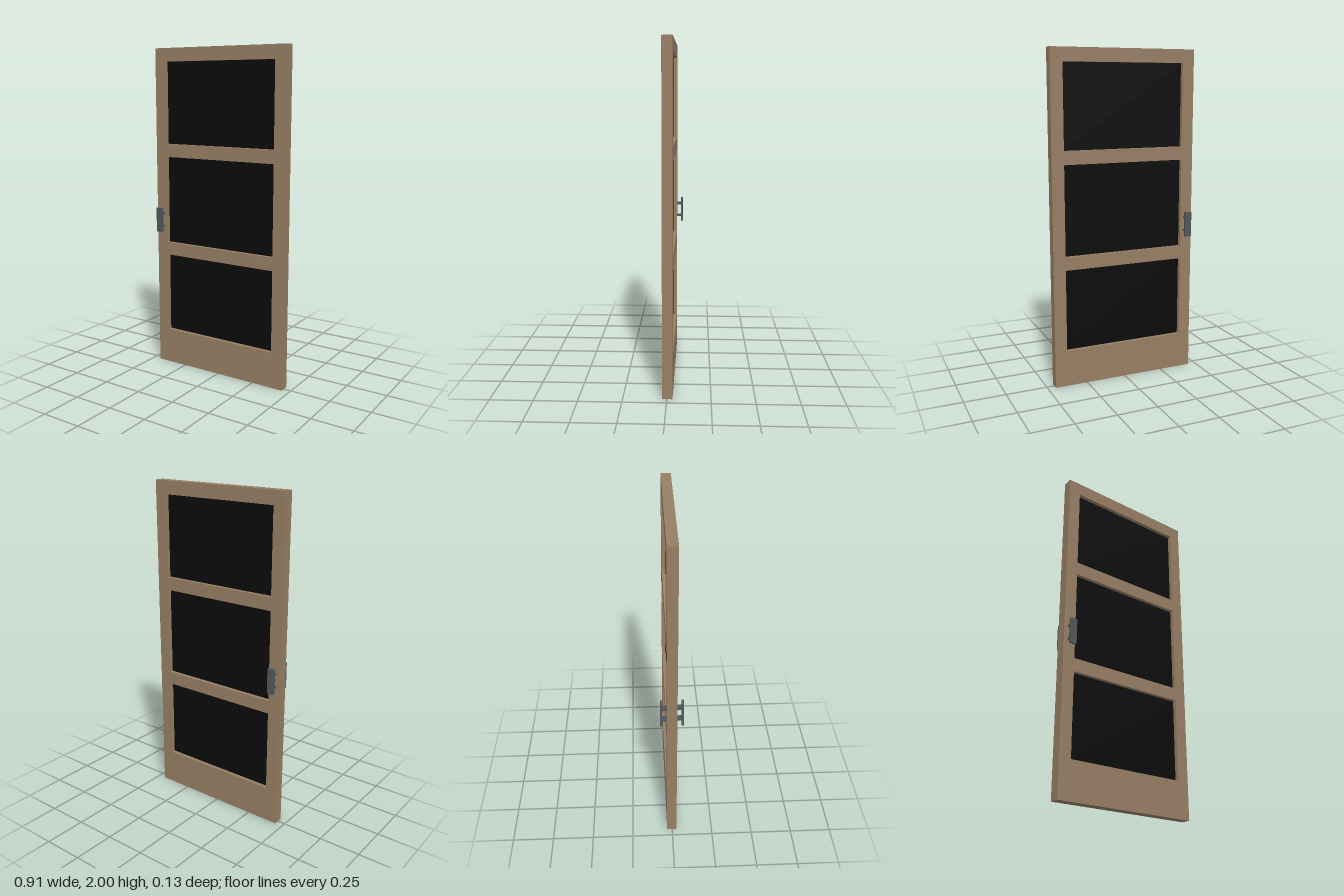
import * as THREE from 'three';

const material = (name, color) => {
  const m = new THREE.MeshStandardMaterial({ color });
  m.name = name;
  return m;
};

export function createModel() {
  const wood = material('wood', 0x967e64);
  const black = material('black panel', 0x0b0b0b);
  const metal = material('grey metal', 0x50565b);

  const door = new THREE.Group();
  door.name = 'door';

  const box = (parent, name, mat, size, pos) => {
    const mesh = new THREE.Mesh(new THREE.BoxGeometry(...size), mat);
    mesh.name = name;
    mesh.position.set(...pos);
    parent.add(mesh);
  };

  const W = 0.453, H = 2, T = 0.059, midZ = -0.0025;
  const holeX = 0.378;
  const openings = [[0.222, 0.72], [0.8, 1.342], [1.422, 1.92]];

  const rectangle = (path, x, y0, y1) =>
    path.moveTo(-x, y0).lineTo(x, y0).lineTo(x, y1).lineTo(-x, y1).closePath();

  // Wooden frame with three openings
  const outline = new THREE.Shape();
  rectangle(outline, W, 0, H);
  for (const [y0, y1] of openings) {
    const hole = new THREE.Path();
    rectangle(hole, holeX, y0, y1);
    outline.holes.push(hole);
  }
  const frame = new THREE.Mesh(
    new THREE.ExtrudeGeometry(outline, { depth: T, bevelEnabled: false }), wood);
  frame.name = 'frame';
  frame.position.z = midZ - T / 2;
  door.add(frame);

  // Thin panels recessed from both faces
  openings.forEach(([y0, y1], i) =>
    box(door, `panel${i + 1}`, black, [holeX * 2, y1 - y0, 0.012], [0, (y0 + y1) / 2, midZ]));

  // Pull handle on each face: a flat grip on two short posts
  for (const side of [1, -1]) {
    const handle = new THREE.Group();
    handle.name = side > 0 ? 'frontHandle' : 'backHandle';
    handle.position.set(-0.413, side > 0 ? 0.945 : 0.941, midZ);
    box(handle, 'grip', metal, [0.044, 0.153, 0.012], [0, 0, side * 0.061]);
    for (const y of [0.04, -0.04])
      box(handle, 'post', metal, [0.033, 0.012, 0.028], [0, y, side * 0.042]);
    door.add(handle);
  }

  return door;
}
